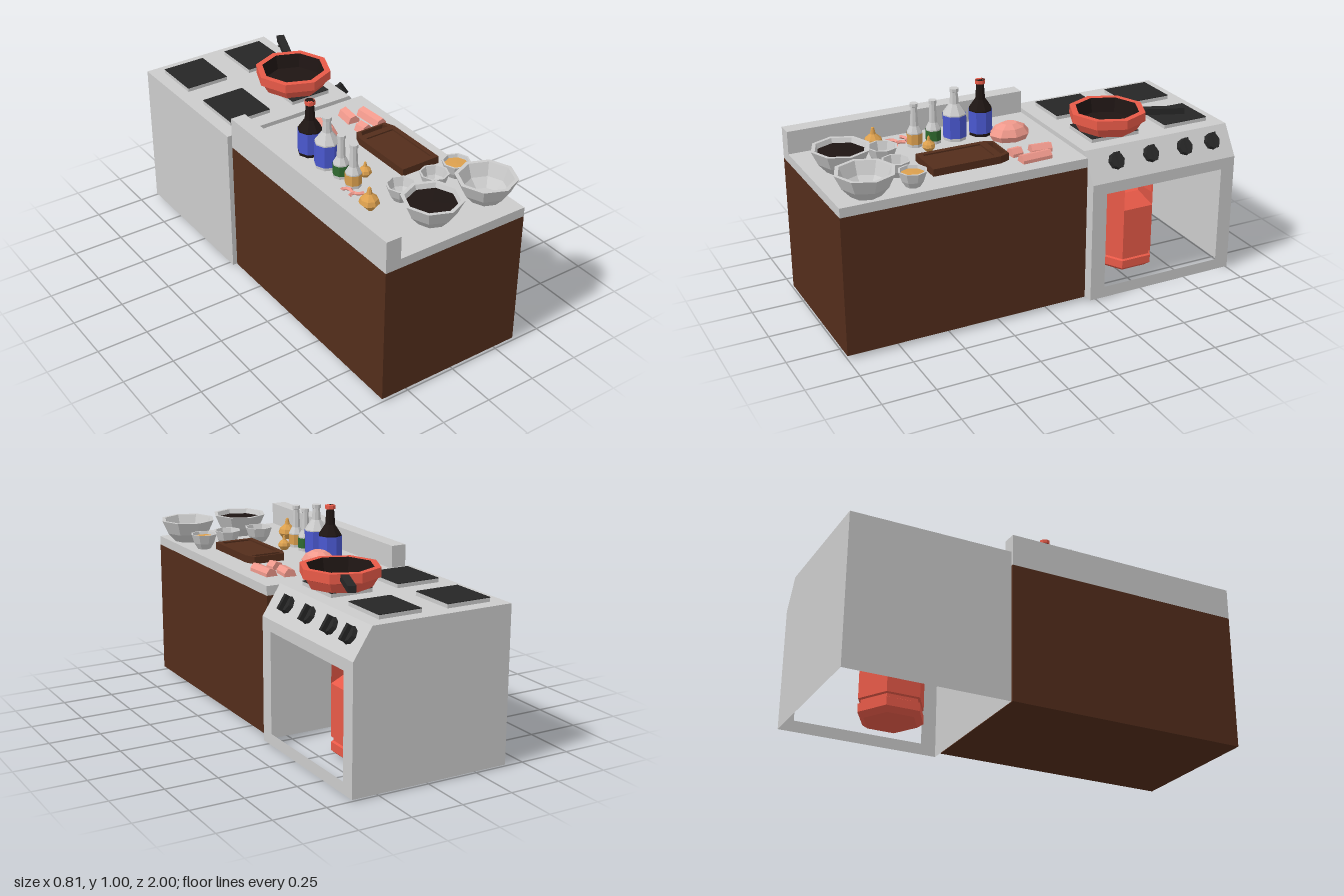
import * as THREE from 'three';

const GREY = 0xcccccc, BROWN = 0x532d1b, RED = 0xe85a48, BLACK = 0x262626, DARK = 0x1e1513;
const BLUE = 0x4a58d0, GREEN = 0x2f6a2f, ORANGE = 0xdca04e, PINK = 0xf0998c;
const V = (x, y) => new THREE.Vector2(x, y);

export function createModel() {
  const root = new THREE.Group();
  const mat = (color, side = THREE.DoubleSide) =>
    new THREE.MeshStandardMaterial({ color, flatShading: true, side });

  function add(name, geo, color, x = 0, y = 0, z = 0, parent = root, side) {
    const m = new THREE.Mesh(geo, mat(color, side));
    m.name = name;
    m.position.set(x, y, z);
    parent.add(m);
    return m;
  }
  // box given by its limits
  function block(name, color, x0, x1, y0, y1, z0, z1, parent) {
    return add(name, new THREE.BoxGeometry(x1 - x0, y1 - y0, z1 - z0), color,
      (x0 + x1) / 2, (y0 + y1) / 2, (z0 + z1) / 2, parent);
  }
  const lathe = (pts, n = 8) => new THREE.LatheGeometry(pts.map(p => V(...p)), n);
  const shape = pts => new THREE.Shape(pts.map(p => V(...p)));
  function group(name, x = 0, y = 0, z = 0) {
    const g = new THREE.Group();
    g.name = name;
    g.position.set(x, y, z);
    root.add(g);
    return g;
  }

  // counter
  block('counterCabinet', BROWN, -0.39, 0.35, 0.02, 0.69, -0.2, 1);
  block('worktop', GREY, -0.39, 0.35, 0.69, 0.735, -0.2, 1);
  block('backsplash', GREY, -0.39, -0.315, 0.735, 0.845, -0.2, 1);

  // stove shell, open underneath, with an oven window in front
  const stove = group('stove');
  const Z0 = -1, Z1 = -0.215;
  const side = new THREE.ShapeGeometry(shape([
    [-0.405, 0.01], [0.38, 0.01], [0.38, 0.605], [0.29, 0.745], [-0.405, 0.745]]));
  for (const z of [Z0, Z1]) add('stoveSide', side, GREY, 0, 0, z, stove);
  const depth = Z1 - Z0, midZ = (Z0 + Z1) / 2;
  add('stoveBack', new THREE.PlaneGeometry(depth, 0.735).rotateY(-Math.PI / 2), GREY, -0.405, 0.3775, midZ, stove);
  add('stoveTop', new THREE.PlaneGeometry(0.695, depth).rotateX(-Math.PI / 2), GREY, -0.0575, 0.745, midZ, stove, THREE.FrontSide);
  const front = shape([[-Z1, 0.01], [-Z0, 0.01], [-Z0, 0.605], [-Z1, 0.605]]);
  front.holes.push(new THREE.Path([V(0.29, 0.065), V(0.29, 0.55), V(0.927, 0.55), V(0.927, 0.065)]));
  add('stoveFront', new THREE.ShapeGeometry(front).rotateY(Math.PI / 2), GREY, 0.38, 0, 0, stove);

  // sloping control panel with knobs
  const panel = new THREE.Group();
  panel.name = 'controlPanel';
  panel.position.set(0.335, 0.675, 0);
  panel.rotation.z = Math.atan2(0.09, 0.14);
  stove.add(panel);
  add('panelFace', new THREE.PlaneGeometry(depth, Math.hypot(0.09, 0.14)).rotateY(Math.PI / 2), GREY, 0, 0, midZ, panel);
  for (const z of [-0.364, -0.552, -0.74, -0.895]) {
    add('knob', new THREE.CylinderGeometry(0.036, 0.042, 0.02, 8).rotateZ(-Math.PI / 2), BLACK, 0.01, 0.01, z, panel);
    add('knobGrip', new THREE.BoxGeometry(0.022, 0.075, 0.018), BLACK, 0.03, 0.01, z, panel);
  }

  // hotplates
  for (const [x0, x1] of [[-0.34, -0.12], [0.01, 0.22]])
    for (const [z0, z1] of [[-0.935, -0.695], [-0.55, -0.295]]) {
      block('hotplateBase', GREY, x0, x1, 0.745, 0.763, z0, z1);
      block('hotplate', BLACK, x0, x1, 0.763, 0.766, z0, z1);
    }

  // frying pan
  const pan = group('fryingPan', 0.11, 0.763, -0.44);
  add('panBody', lathe([[0, 0], [0.145, 0], [0.172, 0.045], [0.186, 0.05], [0.186, 0.094], [0.155, 0.094]]), RED, 0, 0, 0, pan);
  add('panInside', lathe([[0.155, 0.094], [0.14, 0.025], [0, 0.025]]), DARK, 0, 0, 0, pan);
  const handle = add('panHandle', new THREE.BoxGeometry(0.038, 0.03, 0.2), BLACK, 0.106, 0.077, -0.245, pan);
  handle.rotation.y = -0.38;

  // gas bottle inside the oven
  const gas = group('gasBottle', 0.053, 0, -0.585);
  add('gasBody', lathe([[0, 0.003], [0.13, 0.003], [0.16, 0.025], [0.16, 0.065], [0.148, 0.07], [0.148, 0.085],
    [0.16, 0.09], [0.16, 0.34], [0.08, 0.4], [0, 0.4]], 6), RED, 0, 0, 0, gas);
  add('gasValve', lathe([[0.025, 0.4], [0.025, 0.415], [0.048, 0.42], [0.048, 0.435], [0.025, 0.443], [0, 0.443]], 6), RED, 0, 0, 0, gas);
  // collar leaves the front panel open
  add('gasCollar', new THREE.CylinderGeometry(0.16, 0.16, 0.18, 5, 1, true, Math.PI * 2 / 3, Math.PI * 5 / 3), RED, 0, 0.43, 0, gas);

  // bowls: x, z, radius, height, filling
  for (const [x, z, r, h, fill] of [[-0.035, 0.845, 0.138, 0.11, DARK], [0.26, 0.845, 0.14, 0.11, null],
    [-0.045, 0.645, 0.072, 0.075, null], [0.13, 0.65, 0.068, 0.075, null], [0.27, 0.63, 0.067, 0.075, ORANGE]]) {
    const b = group('bowl', x, 0.735, z);
    add('bowlBody', lathe([[0, 0], [r * 0.5, 0], [r * 0.78, h * 0.4], [r, h], [r * 0.87, h], [r * 0.7, h * 0.45], [r * 0.42, h * 0.12], [0, h * 0.12]]),
      GREY, 0, 0, 0, b);
    if (fill) add('bowlFilling', lathe([[r * 0.82, h * 0.8], [0, h * 0.83]]), fill, 0, 0, 0, b);
  }

  // bottles: z, radius, body height, total height, neck radius, glass, label, cap
  for (const [z, r, hb, h, n, glass, label, cap] of [
    [0.1, 0.057, 0.128, 0.27, 0.019, DARK, BLUE, RED], [0.235, 0.057, 0.128, 0.25, 0.018, GREY, BLUE, null],
    [0.345, 0.037, 0.07, 0.21, 0.016, GREY, GREEN, null], [0.44, 0.037, 0.07, 0.21, 0.016, GREY, ORANGE, null]]) {
    const b = group('bottle', -0.153, 0.735, z);
    add('bottleGlass', lathe([[0, 0], [r, 0], [r, hb], [n * 1.3, hb + r * 0.85], [n, h - 0.018], [n * 1.25, h - 0.016], [n * 1.25, h], [0, h]]), glass, 0, 0, 0, b);
    add('bottleLabel', new THREE.CylinderGeometry(r + 0.002, r + 0.002, hb - 0.02, 8, 1, true), label, 0, hb / 2 + 0.005, 0, b);
    if (cap) add('bottleCap', new THREE.CylinderGeometry(0.025, 0.025, 0.018, 8), cap, 0, h - 0.009, 0, b);
  }

  // onions
  for (const [x, z, s] of [[-0.203, 0.627, 1], [-0.066, 0.407, 0.68]]) {
    const o = add('onion', lathe([[0, 0], [0.024, 0], [0.047, 0.03], [0.04, 0.052], [0.014, 0.075], [0.007, 0.105], [0, 0.108]]), ORANGE, x, 0.735, z);
    o.scale.setScalar(s);
  }

  // shrimps
  [[-0.225, 0.485, 0.4], [-0.165, 0.495, 2.4], [-0.205, 0.54, 1.3]].forEach(([x, z, a]) => {
    const s = add('shrimp', new THREE.TorusGeometry(0.034, 0.009, 4, 5, 2.4).rotateX(-Math.PI / 2), PINK, x, 0.746, z);
    s.rotation.y = a;
  });

  // meat joint and cut slices
  const meat = add('meat', lathe([[0, 0], [0.85, 0], [1, 0.028], [0.75, 0.06], [0.38, 0.078], [0, 0.078]]), PINK, -0.037, 0.735, 0.005);
  meat.scale.set(0.078, 1, 0.102);
  for (const [x, z, w, l, turn] of [[0.168, -0.05, 0.06, 0.1, -0.1], [0.25, 0.02, 0.058, 0.15, 0.05], [0.16, 0.077, 0.062, 0.055, 0.1]]) {
    const g = new THREE.ExtrudeGeometry(shape([[-w / 2, 0], [w / 2, 0], [w * 0.5, 0.016], [w * 0.2, 0.038], [-w * 0.3, 0.03]]),
      { depth: l, bevelEnabled: false }).translate(0, 0, -l / 2);
    add('meatSlice', g, PINK, x, 0.735, z).rotation.y = turn;
  }

  // chopping board with a grip slot and a raised rim
  const outline = () => shape([[-0.1, -0.525], [0.1, -0.525], [0.1, -0.195], [0.08, -0.145], [-0.08, -0.145], [-0.1, -0.195]]);
  const slot = new THREE.Path([V(-0.075, -0.182), V(-0.06, -0.155), V(0.06, -0.155), V(0.075, -0.182)]);
  const board = outline();
  board.holes.push(slot);
  const rim = outline();
  rim.holes.push(slot, new THREE.Path([V(-0.075, -0.5), V(-0.075, -0.215), V(0.075, -0.215), V(0.075, -0.5)]));
  const slab = (s, d) => new THREE.ExtrudeGeometry(s, { depth: d, bevelEnabled: false }).rotateX(-Math.PI / 2);
  add('choppingBoard', slab(board, 0.028), BROWN, 0.155, 0.75, 0);
  add('choppingBoardRim', slab(rim, 0.007), BROWN, 0.155, 0.778, 0);

  return root;
}
